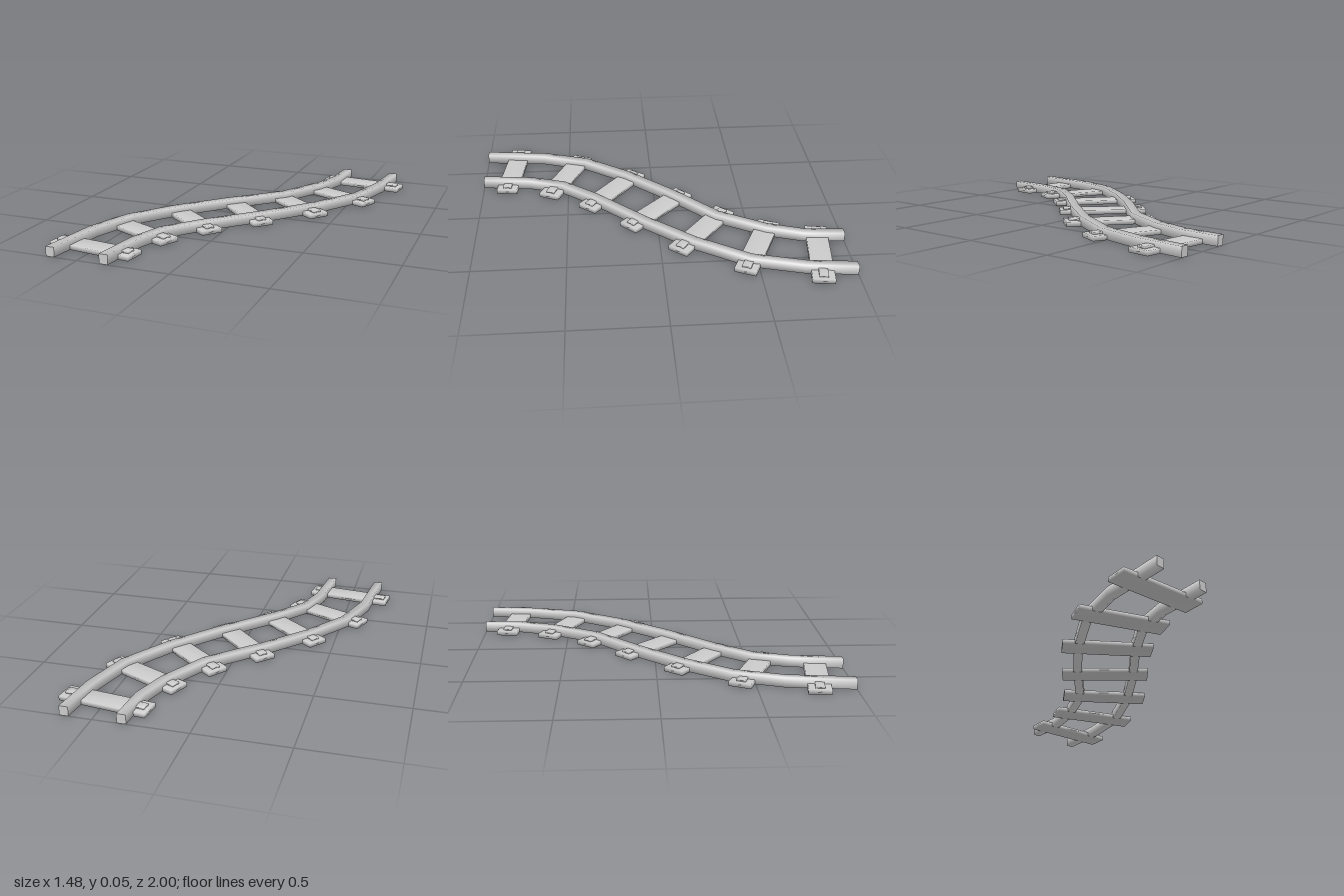
import * as THREE from 'three';
import { mergeVertices } from 'three/addons/utils/BufferGeometryUtils.js';

const material = new THREE.MeshStandardMaterial({ color: 0xcccccc });

// Box with shared corners, so its shading is smooth
function softBox(w, h, d) {
  const g = new THREE.BoxGeometry(w, h, d);
  g.deleteAttribute('normal');
  g.deleteAttribute('uv');
  const merged = mergeVertices(g);
  merged.computeVertexNormals();
  return merged;
}

// Rectangular bar swept along [x, z] points with mitred joints
function railGeometry(path, width, y0, y1) {
  const pts = path.map(([x, z]) => new THREE.Vector2(x, z));
  const last = pts.length - 1;
  const pos = [], index = [];
  const sideOf = (a, b) => {
    const t = b.clone().sub(a).normalize();
    return new THREE.Vector2(t.y, -t.x);
  };
  pts.forEach((p, i) => {
    let side = new THREE.Vector2(1, 0); // square-cut ends
    if (i > 0 && i < last) {
      const s0 = sideOf(pts[i - 1], p), s1 = sideOf(p, pts[i + 1]);
      side = s0.clone().add(s1).normalize();
      side.divideScalar(side.dot(s0));
    }
    for (const [s, y] of [[1, y0], [1, y1], [-1, y1], [-1, y0]]) {
      pos.push(p.x + side.x * s * width / 2, y, p.y + side.y * s * width / 2);
    }
  });
  for (let i = 0; i < last; i++) {
    for (let k = 0; k < 4; k++) {
      const a = i * 4 + k, b = i * 4 + (k + 1) % 4;
      index.push(a, b, b + 4, a, b + 4, a + 4);
    }
  }
  // End caps on their own vertices, to stay flat
  const n = pos.length / 3;
  pos.push(...pos.slice(0, 12), ...pos.slice(-12));
  index.push(n, n + 2, n + 1, n, n + 3, n + 2);
  index.push(n + 4, n + 5, n + 6, n + 4, n + 6, n + 7);

  const g = new THREE.BufferGeometry();
  g.setAttribute('position', new THREE.Float32BufferAttribute(pos, 3));
  g.setIndex(index);
  g.computeVertexNormals();
  return g;
}

export function createModel() {
  const group = new THREE.Group();
  group.name = 'railTrack';
  const add = (parent, name, geometry) => {
    const mesh = new THREE.Mesh(geometry, material);
    mesh.name = name;
    parent.add(mesh);
    return mesh;
  };

  // Two rails following the S-bend
  const rightRail = [[0.345, -1], [0.33, -0.785], [0.265, -0.59], [0.12, -0.335], [-0.135, -0.09],
    [-0.35, 0.145], [-0.525, 0.39], [-0.61, 0.645], [-0.65, 1]];
  const leftRail = [[0.645, -1], [0.615, -0.73], [0.54, -0.46], [0.365, -0.185], [0.145, 0.075],
    [-0.11, 0.34], [-0.26, 0.53], [-0.32, 0.72], [-0.35, 1]];
  add(group, 'rightRail', railGeometry(rightRail, 0.048, 0.001, 0.053));
  add(group, 'leftRail', railGeometry(leftRail, 0.048, 0.001, 0.053));

  // Sleepers: x, z, turn in degrees
  const sleepers = [[0.488, -0.836, 7.3], [0.4, -0.52, 24.7], [0.225, -0.24, 39], [0, -0.005, 45],
    [-0.227, 0.24, 39], [-0.404, 0.514, 24.5], [-0.493, 0.832, 7.3]];
  const plank = softBox(0.485, 0.025, 0.118);
  const plate = softBox(0.065, 0.014, 0.047);
  sleepers.forEach(([x, z, deg]) => {
    const sleeper = new THREE.Group();
    sleeper.name = 'sleeper';
    sleeper.position.set(x, 0, z);
    sleeper.rotation.y = -THREE.MathUtils.degToRad(deg);
    add(sleeper, 'plank', plank).position.y = 0.0125;
    // Fastening plates outside each rail
    for (const s of [-1, 1]) add(sleeper, 'fasteningPlate', plate).position.set(s * 0.19, 0.03, 0);
    group.add(sleeper);
  });

  return group;
}
